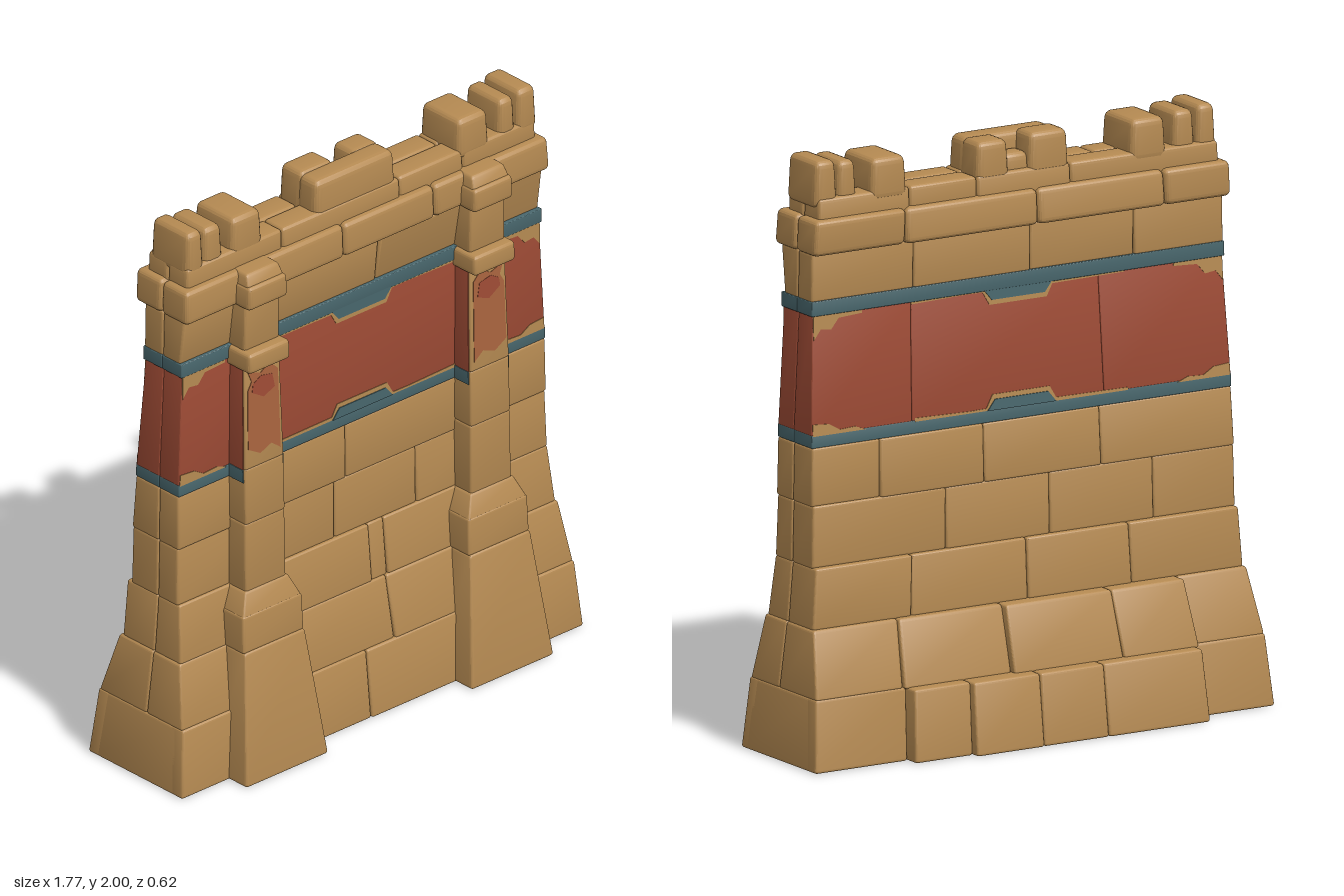
import * as THREE from 'three';
import { RoundedBoxGeometry } from 'three/addons/geometries/RoundedBoxGeometry.js';
import { toCreasedNormals } from 'three/addons/utils/BufferGeometryUtils.js';

const mat = (name, color) => new THREE.MeshStandardMaterial({ name, color });

export function createModel() {
  const stone = mat('sandstone', 0xb58a52);
  const red = mat('redPaint', 0x9e4b35);
  const faded = mat('fadedRedPaint', 0xa9643f);
  const blue = mat('bluePaint', 0x48666c);
  const model = new THREE.Group();
  model.name = 'fortressWall';

  let seed = 7;
  const jitter = (a) => {
    seed = (seed * 16807) % 2147483647;
    return (seed / 2147483647 - 0.5) * 2 * a;
  };
  const lerp = THREE.MathUtils.lerp;

  // Worn block: rounded box warped between a bottom and a top rectangle [x0, x1, z0, z1]
  function block(parent, name, material, y0, y1, b, t = b, r = 0.01) {
    const h = y1 - y0, w = b[1] - b[0], d = b[3] - b[2];
    const g = new RoundedBoxGeometry(w, h, d, 2, Math.min(r, h * 0.4, w * 0.4, d * 0.4));
    const p = g.attributes.position;
    for (let i = 0; i < p.count; i++) {
      const u = p.getX(i) / w + 0.5, v = p.getY(i) / h + 0.5, s = p.getZ(i) / d + 0.5;
      p.setXYZ(i,
        lerp(lerp(b[0], b[1], u), lerp(t[0], t[1], u), v),
        y0 + v * h,
        lerp(lerp(b[2], b[3], s), lerp(t[2], t[3], s), v));
    }
    const mesh = new THREE.Mesh(toCreasedNormals(g, 0.3), material);
    mesh.name = name;
    parent.add(mesh);
  }

  // One course: a front row and a back row of blocks. bot/top = [halfWidth, zFront, zBack]
  function course(name, material, y0, y1, bot, top, front, back, o = {}) {
    const group = new THREE.Group();
    group.name = name;
    model.add(group);
    const wear = o.wear ?? 0.004, thick = 0.06;
    for (const side of [1, -1]) {
      const xs = [-1, ...(side > 0 ? front : back).map((x) => x / bot[0]), 1];
      for (let i = 0; i < xs.length - 1; i++) {
        const mid = (xs[i] + xs[i + 1]) * 0.5 * bot[0];
        const bulge = side < 0 && o.bulge && mid > -0.59 && mid < 0.53
          ? o.bulge - (mid > 0.3 ? 0.025 : 0) : 0;
        const rect = (s) => {
          const outer = (side > 0 ? s[1] : s[2]) + side * bulge + jitter(wear);
          const inner = o.hollow ? (side > 0 ? s[1] - thick : s[2] + thick) : 0.03;
          return [xs[i] * s[0], xs[i + 1] * s[0], Math.min(inner, outer), Math.max(inner, outer)];
        };
        block(group, side > 0 ? 'frontBlock' : 'backBlock', material, y0, y1, rect(bot), rect(top), o.r);
      }
    }
    if (o.hollow) for (const s of [-1, 1]) {
      const rect = (q) => {
        const a = s * q[0], c = s * (q[0] - thick);
        return [Math.min(a, c), Math.max(a, c), q[2] + 0.03, q[1] - 0.03];
      };
      block(group, 'endBlock', material, y0, y1, rect(bot), rect(top));
    }
  }

  // Battered foot and wall courses
  course('footCourse', stone, 0, 0.24, [0.885, 0.23, -0.23], [0.865, 0.205, -0.2],
    [-0.5, -0.05, 0.5], [-0.59, -0.2, 0.05, 0.31, 0.53], { hollow: true, bulge: 0.075 });
  course('slopedCourse', stone, 0.235, 0.455, [0.865, 0.2, -0.2], [0.835, 0.158, -0.135],
    [-0.5, 0.08, 0.5], [-0.59, -0.3, 0.12, 0.53], { bulge: 0.035 });
  course('thirdCourse', stone, 0.45, 0.655, [0.83, 0.155, -0.125], [0.813, 0.135, -0.115],
    [-0.5, 0.02, 0.09, 0.5], [-0.4, 0, 0.45]);
  course('fourthCourse', stone, 0.65, 0.86, [0.815, 0.128, -0.1], [0.81, 0.125, -0.096],
    [-0.5, -0.12, 0.24, 0.5], [-0.5, -0.1, 0.3]);
  course('fifthCourse', stone, 0.855, 1.052, [0.812, 0.127, -0.094], [0.808, 0.125, -0.085],
    [-0.5, -0.07, 0.5], [-0.3, 0.15, 0.55]);

  // Painted frieze between two blue bands
  course('lowerBlueBand', blue, 1.05, 1.095, [0.808, 0.126, -0.083], [0.808, 0.126, -0.081],
    [], [], { wear: 0, r: 0.004 });
  course('redFrieze', red, 1.09, 1.49, [0.808, 0.125, -0.081], [0.788, 0.12, -0.056],
    [-0.5, 0.5], [-0.32, 0.42], { wear: 0, r: 0.006 });
  course('upperBlueBand', blue, 1.485, 1.535, [0.795, 0.125, -0.062], [0.795, 0.125, -0.061],
    [], [], { wear: 0, r: 0.004 });

  // Upper wall, cornice and parapet
  course('upperCourse', stone, 1.53, 1.695, [0.793, 0.112, -0.055], [0.79, 0.135, -0.062],
    [-0.5, 0.07, 0.5], [-0.45, -0.05, 0.4]);
  course('cornice', stone, 1.69, 1.81, [0.803, 0.158, -0.095], [0.797, 0.152, -0.092],
    [-0.5, -0.1, 0.3, 0.55], [-0.55, -0.06, 0.45], { r: 0.02 });
  course('parapet', stone, 1.79, 1.876, [0.772, 0.125, -0.07], [0.768, 0.122, -0.066],
    [-0.35, 0.17, 0.45], [-0.2, 0.16, 0.42], { r: 0.015 });

  // Merlons: [x0, x1, z0, z1, top]
  const merlons = [
    [-0.77, -0.688, -0.06, 0.125, 2.0], [-0.69, -0.6, -0.058, 0.12, 1.99],
    [-0.572, -0.43, -0.07, 0.125, 1.985],
    [-0.2, 0.16, 0.02, 0.122, 1.985], [-0.2, -0.04, -0.066, 0.05, 1.992],
    [0.03, 0.162, -0.066, 0.05, 1.985], [-0.06, 0.05, -0.05, 0.04, 1.93],
    [0.426, 0.57, -0.07, 0.125, 1.985],
    [0.61, 0.69, -0.055, 0.12, 1.99], [0.688, 0.78, -0.06, 0.125, 2.0],
  ];
  for (const [x0, x1, z0, z1, top] of merlons) {
    block(model, 'merlon', stone, 1.84, top, [x0, x1, z0, z1],
      [x0 + 0.008, x1 - 0.008, z0 + 0.004, z1 - 0.004], 0.026);
  }

  // Pilasters: [y0, y1, half width and front z at bottom, the same at top, back z, radius]
  const drums = [
    [0, 0.455, 0.182, 0.312, 0.133, 0.25, 0.12, 0.012],
    [0.45, 0.585, 0.134, 0.245, 0.13, 0.24, 0.03, 0.01],
    [0.575, 0.655, 0.13, 0.24, 0.094, 0.21, 0.03, 0.008],
    [0.645, 0.9, 0.09, 0.207, 0.088, 0.203, 0.03, 0.01],
    [0.895, 1.1, 0.088, 0.205, 0.086, 0.2, 0.03, 0.01],
    [1.095, 1.47, 0.086, 0.2, 0.078, 0.188, 0.03, 0.008],
    [1.46, 1.533, 0.092, 0.228, 0.09, 0.226, 0.03, 0.016],
    [1.525, 1.7, 0.078, 0.188, 0.076, 0.19, 0.03, 0.012],
    [1.69, 1.775, 0.088, 0.22, 0.084, 0.22, 0.03, 0.016],
    [1.755, 1.812, 0.082, 0.215, 0.07, 0.19, 0.03, 0.012],
  ];
  for (const s of [-1, 1]) {
    const pilaster = new THREE.Group();
    pilaster.name = s > 0 ? 'leftPilaster' : 'rightPilaster';
    pilaster.position.x = s * 0.497;
    model.add(pilaster);
    for (const [y0, y1, hb, zb, ht, zt, back, r] of drums) {
      block(pilaster, 'pilasterBlock', stone, y0, y1, [-hb, hb, back, zb], [-ht, ht, back, zt], r);
    }
    // Paint on the pilaster flanks
    for (const k of [-1, 1]) {
      const strip = (name, m, y0, y1, xb, xt, zb, zt) => {
        const rect = (x, z) => [k * x - 0.002, k * x + 0.002, 0.1, z];
        block(pilaster, name, m, y0, y1, rect(xb, zb), rect(xt, zt), 0.001);
      };
      strip('flankRed', red, 1.097, 1.46, 0.0865, 0.079, 0.192, 0.181);
      strip('flankBlue', blue, 1.05, 1.097, 0.088, 0.088, 0.194, 0.192);
    }
  }

  // Thin painted plate; zAt gives the surface it lies on, dir = 1 front or -1 back
  function plate(name, material, pts, zAt, dir, lift = 0.004) {
    const shape = new THREE.Shape(pts.map(([x, y]) => new THREE.Vector2(x * dir, y)));
    const g = new THREE.ExtrudeGeometry(shape, { depth: 0.005, bevelEnabled: false });
    if (dir < 0) g.rotateY(Math.PI);
    const p = g.attributes.position;
    for (let i = 0; i < p.count; i++) {
      p.setZ(i, p.getZ(i) + zAt(p.getY(i)) + dir * (lift - 0.005));
    }
    g.computeVertexNormals();
    const mesh = new THREE.Mesh(g, material);
    mesh.name = name;
    model.add(mesh);
  }
  const along = (z0, z1) => (y) => lerp(z0, z1, (y - 1.09) / 0.4);
  const faces = [[1, along(0.125, 0.12)], [-1, along(-0.081, -0.056)]];

  // Blue tabs with stone rims, and worn corners of the frieze
  for (const [dir, zAt] of faces) {
    for (const [base, d] of [[1.09, 1], [1.49, -1]]) {
      const tab = (w, h) => [[-w - 0.03, base], [-w, base + d * h], [w, base + d * h], [w + 0.03, base]];
      plate('tabRim', stone, tab(0.11, 0.052), zAt, dir, 0.002);
      plate('blueTab', blue, tab(0.102, 0.036), zAt, dir, 0.005);
      plate('rimLine', stone, [[-0.41, base], [-0.41, base + d * 0.009], [-0.1, base + d * 0.012],
        [0.2, base + d * 0.007], [0.41, base + d * 0.012], [0.41, base]], zAt, dir, 0.002);
    }
    for (const s of [-1, 1]) {
      plate('wornUpperCorner', stone, [[s * 0.6, 1.49], [s * 0.6, 1.475], [s * 0.69, 1.47],
        [s * 0.72, 1.435], [s * 0.76, 1.44], [s * 0.788, 1.405], [s * 0.787, 1.49]], zAt, dir, 0.002);
      plate('wornLowerCorner', stone, [[s * 0.6, 1.09], [s * 0.64, 1.105], [s * 0.7, 1.102],
        [s * 0.74, 1.125], [s * 0.802, 1.13], [s * 0.803, 1.09]], zAt, dir, 0.002);
    }
  }

  // Worn paint on the pilaster fronts
  const pilasterZ = (y) => lerp(0.2, 0.188, (y - 1.095) / 0.375);
  for (const s of [-1, 1]) {
    const at = (pts) => pts.map(([x, y]) => [s * (0.497 + x), y]);
    plate('pilasterPaint', faded, at([[-0.07, 1.13], [-0.03, 1.16], [0.02, 1.14], [0.072, 1.17],
      [0.068, 1.38], [0.05, 1.41], [0.066, 1.45], [0.01, 1.43], [-0.03, 1.455], [-0.066, 1.42]]), pilasterZ, 1, 0.002);
    plate('pilasterRedPatch', red, at([[-0.05, 1.36], [0, 1.34], [0.05, 1.37], [0.045, 1.4],
      [0.01, 1.42], [-0.04, 1.41]]), pilasterZ, 1, 0.003);
  }
  return model;
}
